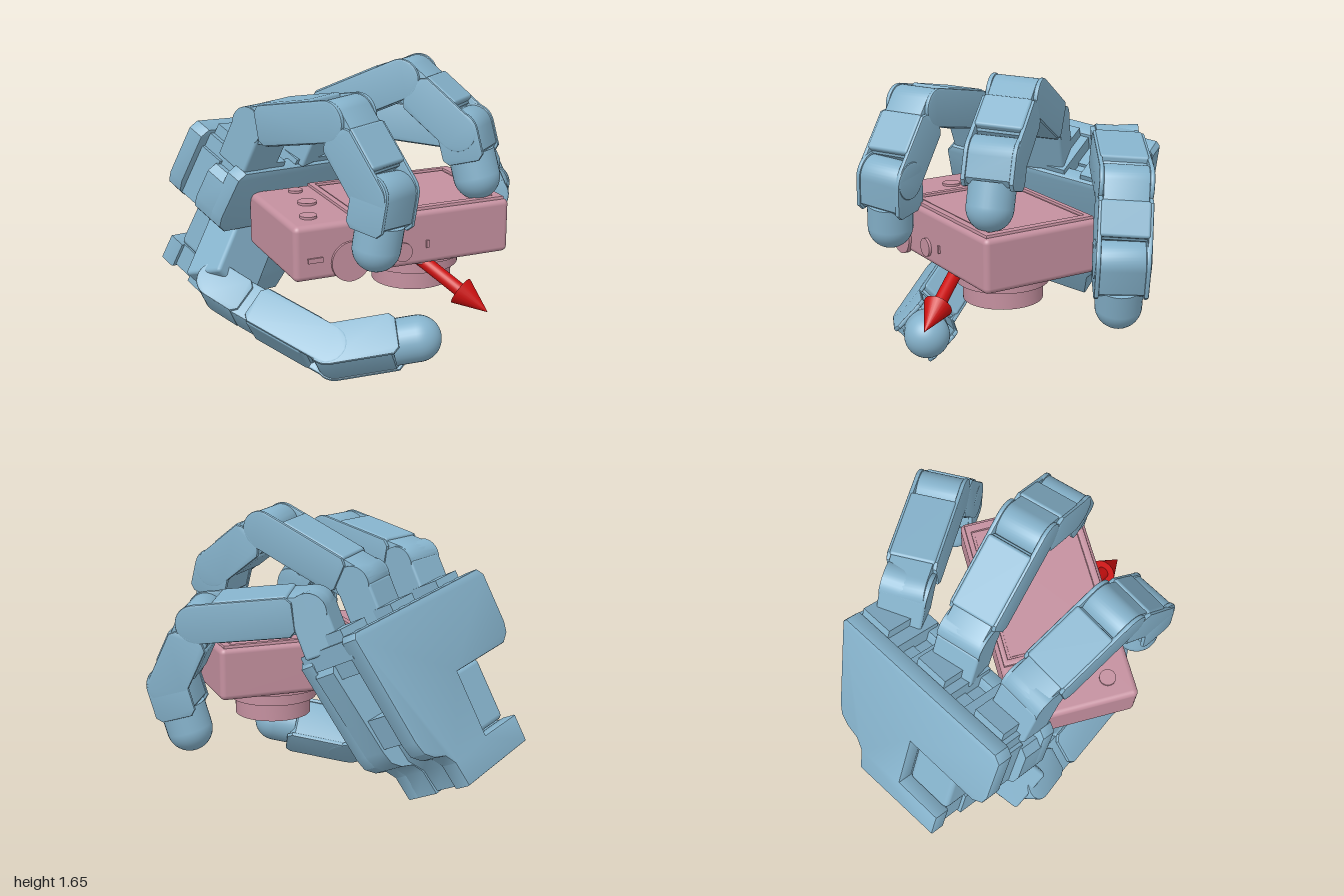
import * as THREE from 'three';
import { toCreasedNormals } from 'three/addons/utils/BufferGeometryUtils.js';
import { RoundedBoxGeometry } from 'three/addons/geometries/RoundedBoxGeometry.js';

const V = (x, y, z) => new THREE.Vector3(x, y, z);
const handMat = new THREE.MeshStandardMaterial({ color: 0x86b3cc });
const camMat = new THREE.MeshStandardMaterial({ color: 0xc4909f });
const redMat = new THREE.MeshStandardMaterial({ color: 0xcc1010 });

function add(parent, name, geo, mat, x = 0, y = 0, z = 0) {
  const m = new THREE.Mesh(geo, mat);
  m.name = name;
  m.position.set(x, y, z);
  parent.add(m);
  return m;
}

function shapeOf(points) {
  return new THREE.Shape(points.map(([x, y]) => new THREE.Vector2(x, y)));
}

function extrude(shape, depth, bevel = 0) {
  const g = new THREE.ExtrudeGeometry(shape, {
    depth: depth - 2 * bevel, curveSegments: 10,
    bevelEnabled: bevel > 0, bevelSize: bevel, bevelOffset: -bevel, bevelThickness: bevel, bevelSegments: 2,
  });
  g.translate(0, 0, bevel);
  return toCreasedNormals(g, 0.6);
}

// Group whose y axis runs from a to b and whose x axis is the hinge axis w
function frame(name, a, b, w) {
  const g = new THREE.Group();
  const y = b.clone().sub(a).normalize();
  const x = w.clone().addScaledVector(y, -w.dot(y)).normalize();
  g.quaternion.setFromRotationMatrix(new THREE.Matrix4().makeBasis(x, y, x.clone().cross(y)));
  g.position.copy(a);
  g.name = name;
  return g;
}

// Side profile with a rounded hinge end, extruded across the finger width
function plate(from, to, half, width) {
  const s = new THREE.Shape();
  s.moveTo(half, from + half);
  s.lineTo(half, to - 0.03);
  s.lineTo(half - 0.03, to);
  s.lineTo(-half + 0.03, to);
  s.lineTo(-half, to - 0.03);
  s.lineTo(-half, from + half);
  s.absarc(0, from + half, half, Math.PI, 2 * Math.PI, false);
  const g = extrude(s, width, 0.008);
  g.translate(0, 0, -width / 2);
  g.rotateY(-Math.PI / 2);
  return g;
}

// One finger segment: core, cover and two cheek plates
function link(name, a, b, w) {
  const g = frame(name, a, b, w), L = a.distanceTo(b);
  add(g, 'linkBody', plate(-0.1, L - 0.09, 0.1, 0.235), handMat);
  add(g, 'linkCover', new RoundedBoxGeometry(0.255, Math.max(0.1, L - 0.2), 0.225, 2, 0.015), handMat, 0, L / 2);
  for (const s of [-1, 1]) {
    const cheek = add(g, 'cheek', plate(-0.105, L - 0.08, 0.105, 0.025), handMat, s * 0.128, L);
    cheek.rotation.x = Math.PI;
  }
  return g;
}

// Last segment with a domed fingertip
function tipLink(a, b, w) {
  const g = frame('fingertip', a, b, w), L = a.distanceTo(b), end = L - 0.11;
  add(g, 'tipBody', plate(-0.1, end, 0.105, 0.25), handMat);
  for (const s of [-1, 1]) add(g, 'cheek', plate(-0.11, end + 0.015, 0.112, 0.025), handMat, s * 0.126);
  add(g, 'tipNeck', new THREE.CylinderGeometry(0.123, 0.123, 0.13, 32), handMat, 0, L - 0.065);
  add(g, 'tipDome', new THREE.SphereGeometry(0.123, 32, 16, 0, Math.PI * 2, 0, Math.PI / 2), handMat, 0, L);
  return g;
}

function finger(name, base, mcp, pip, dip, tip) {
  const g = new THREE.Group();
  g.name = name;
  const w = dip.clone().sub(pip).cross(pip.clone().sub(mcp)).normalize();
  const root = frame('knuckle', base, mcp, w);
  add(root, 'knuckleBody', new RoundedBoxGeometry(0.26, 0.24, 0.2, 2, 0.015), handMat, 0, 0.03);
  const barrel = add(root, 'knuckleBarrel', new THREE.CylinderGeometry(0.1, 0.1, 0.26, 24), handMat, 0, base.distanceTo(mcp));
  barrel.rotation.z = Math.PI / 2;
  g.add(root, link('proximal', mcp, pip, w), link('medial', pip, dip, w), tipLink(dip, tip, w));
  return g;
}

function buildPalm() {
  const palm = new THREE.Group();
  palm.name = 'palm';
  const v = V(0.857, -0.137, -0.503).normalize();
  const u = V(0.32, 0.9, 0.31).normalize();
  palm.quaternion.setFromRotationMatrix(new THREE.Matrix4().makeBasis(v, u, v.clone().cross(u)));
  palm.position.set(-0.235, 1.085, -0.24);

  // Plate outline with tapered side, swept foot and open thumb notch
  const outline = [[-0.57, 0], [0.54, 0], [0.56, -0.03], [0.465, -0.63], [0.44, -0.7], [0.38, -0.745], [0.3, -0.77],
    [0.25, -0.83], [0.225, -0.97], [-0.36, -0.955], [-0.36, -0.8], [-0.06, -0.8], [-0.06, -0.43],
    [-0.53, -0.43], [-0.59, -0.39], [-0.61, -0.33], [-0.61, -0.04]];
  add(palm, 'backPlate', extrude(shapeOf(outline), 0.1, 0.01), handMat, 0, 0, -0.303);
  // Core with a side pocket
  const core = [[-0.57, -0.1], [0.53, -0.1], [0.52, -0.2], [0.36, -0.2], [0.34, -0.45], [0.475, -0.45], [0.45, -0.62],
    [0.34, -0.64], [0.32, -0.74], [0.24, -0.83], [0.21, -0.96], [-0.34, -0.94], [-0.34, -0.8], [-0.06, -0.8], [-0.06, -0.43], [-0.57, -0.4]];
  add(palm, 'core', extrude(shapeOf(core), 0.15), handMat, 0, 0, -0.21);
  const inset = (drop) => shapeOf(outline.map(([x, y]) => [x < -0.45 ? x - 0.01 : x, y > -0.05 ? y - drop : y]));
  add(palm, 'innerBody', extrude(inset(0.12), 0.13), handMat, 0, 0, -0.07);
  add(palm, 'innerPlate', extrude(inset(0.05), 0.09, 0.01), handMat, 0, 0, 0.045);
  // Stepped mounts under the knuckles
  for (const x of [-0.444, 0, 0.444]) {
    add(palm, 'mount', new THREE.BoxGeometry(0.3, 0.1, 0.34), handMat, x * 0.9, -0.07, -0.06);
    add(palm, 'mountStep', new THREE.BoxGeometry(0.2, 0.08, 0.2), handMat, x * 0.95, 0.0, -0.1);
  }
  // Thumb motor housing in the notch
  add(palm, 'thumbHousing', new RoundedBoxGeometry(0.29, 0.36, 0.3, 2, 0.03), handMat, -0.21, -0.615, -0.08);
  return palm;
}

function buildThumb() {
  const g = new THREE.Group();
  g.name = 'thumb';
  const root = V(-0.62, 0.6, -0.22), a = V(-0.81, 0.39, -0.03), b = V(-0.7, 0.32, 0.1), c = V(-0.38, 0.155, 0.52), tip = V(0.03, 0.24, 0.71);
  const w = tip.clone().sub(c).cross(c.clone().sub(b)).normalize();
  const base = frame('thumbBase', root, a, V(0.86, -0.12, -0.5));
  add(base, 'thumbBaseBlock', new RoundedBoxGeometry(0.31, 0.4, 0.25, 2, 0.02), handMat, 0, 0.14);
  const knuckle = frame('thumbKnuckle', a, b, w);
  add(knuckle, 'thumbKnuckleBody', plate(-0.1, 0.2, 0.1, 0.27), handMat);
  g.add(base, knuckle, link('thumbMedial', b, c, w), tipLink(c, tip, w));
  return g;
}

function buildCamera() {
  const g = new THREE.Group();
  g.name = 'camera';
  add(g, 'cameraBody', new RoundedBoxGeometry(1.21, 0.29, 0.68, 4, 0.03), camMat, -0.025, 0.77, 0.32);
  // Raised screen frame and glass on the upper face
  const rect = (x0, x1, y0, y1) => [[x0, y0], [x1, y0], [x1, y1], [x0, y1]];
  const ring = shapeOf(rect(-0.3, 0.555, -0.64, 0));
  ring.holes.push(new THREE.Path(rect(-0.265, 0.51, -0.6, -0.03).reverse().map(([x, y]) => new THREE.Vector2(x, y))));
  add(g, 'screenFrame', extrude(ring, 0.03, 0.006), camMat, 0, 0.9, 0).rotation.x = -Math.PI / 2;
  add(g, 'screen', new THREE.BoxGeometry(0.75, 0.02, 0.54), camMat, 0.122, 0.91, 0.315);
  for (const [x, z, r] of [[-0.4, 0.08, 0.038], [-0.5, 0.52, 0.045], [-0.42, 0.3, 0.05]])
    add(g, 'button', new THREE.CylinderGeometry(r, r, 0.02, 24), camMat, x, 0.918, z);
  // Controls on the narrow front side
  for (const [x, y, r] of [[-0.33, 0.705, 0.105], [-0.04, 0.71, 0.05]])
    add(g, 'dial', new THREE.CylinderGeometry(r, r, 0.03, 32), camMat, x, y, 0.66).rotation.x = Math.PI / 2;
  add(g, 'slot', new THREE.BoxGeometry(0.08, 0.025, 0.02), camMat, -0.52, 0.735, 0.66);
  add(g, 'slot', new THREE.BoxGeometry(0.015, 0.04, 0.02), camMat, 0.1, 0.735, 0.66);
  // Stepped lens pointing down, hollow at its end
  const profile = [[0, 0.46], [0.12, 0.46], [0.13, 0.435], [0.215, 0.435], [0.215, 0.53], [0.25, 0.535], [0.25, 0.6], [0.295, 0.605], [0.295, 0.64]];
  const lens = new THREE.LatheGeometry(profile.map(([x, y]) => new THREE.Vector2(x, y)), 48);
  add(g, 'lens', toCreasedNormals(lens, 0.5), camMat, 0.175, 0, 0.32);
  add(g, 'lensShutter', new THREE.BoxGeometry(0.13, 0.02, 0.08), camMat, 0.175, 0.455, 0.32);
  return g;
}

function buildArrow() {
  const tip = V(0.34, 0.4, 0.885), dir = V(0.7, -0.67, 1).normalize();
  const g = frame('arrow', tip.clone().addScaledVector(dir, -0.65), tip, V(0, 1, 0));
  add(g, 'arrowShaft', new THREE.CylinderGeometry(0.036, 0.036, 0.48, 24), redMat, 0, 0.24);
  add(g, 'arrowHead', new THREE.ConeGeometry(0.078, 0.18, 24), redMat, 0, 0.56);
  return g;
}

export function createModel() {
  const model = new THREE.Group();
  model.name = 'robotHandWithCamera';
  model.add(
    buildPalm(),
    finger('indexFinger', V(-0.61, 1.165, 0.01), V(-0.57, 1.31, 0.07), V(-0.32, 1.42, 0.55), V(-0.20, 1.08, 0.79), V(-0.24, 0.80, 0.775)),
    finger('middleFinger', V(-0.23, 1.11, -0.21), V(-0.18, 1.27, -0.16), V(0.195, 1.525, 0.24), V(0.40, 1.28, 0.49), V(0.44, 1.03, 0.55)),
    finger('outerFinger', V(0.15, 1.06, -0.43), V(0.19, 1.19, -0.395), V(0.70, 1.12, -0.09), V(0.83, 0.77, 0.015), V(0.76, 0.50, -0.02)),
    buildThumb(),
    buildCamera(),
    buildArrow(),
  );
  return model;
}
